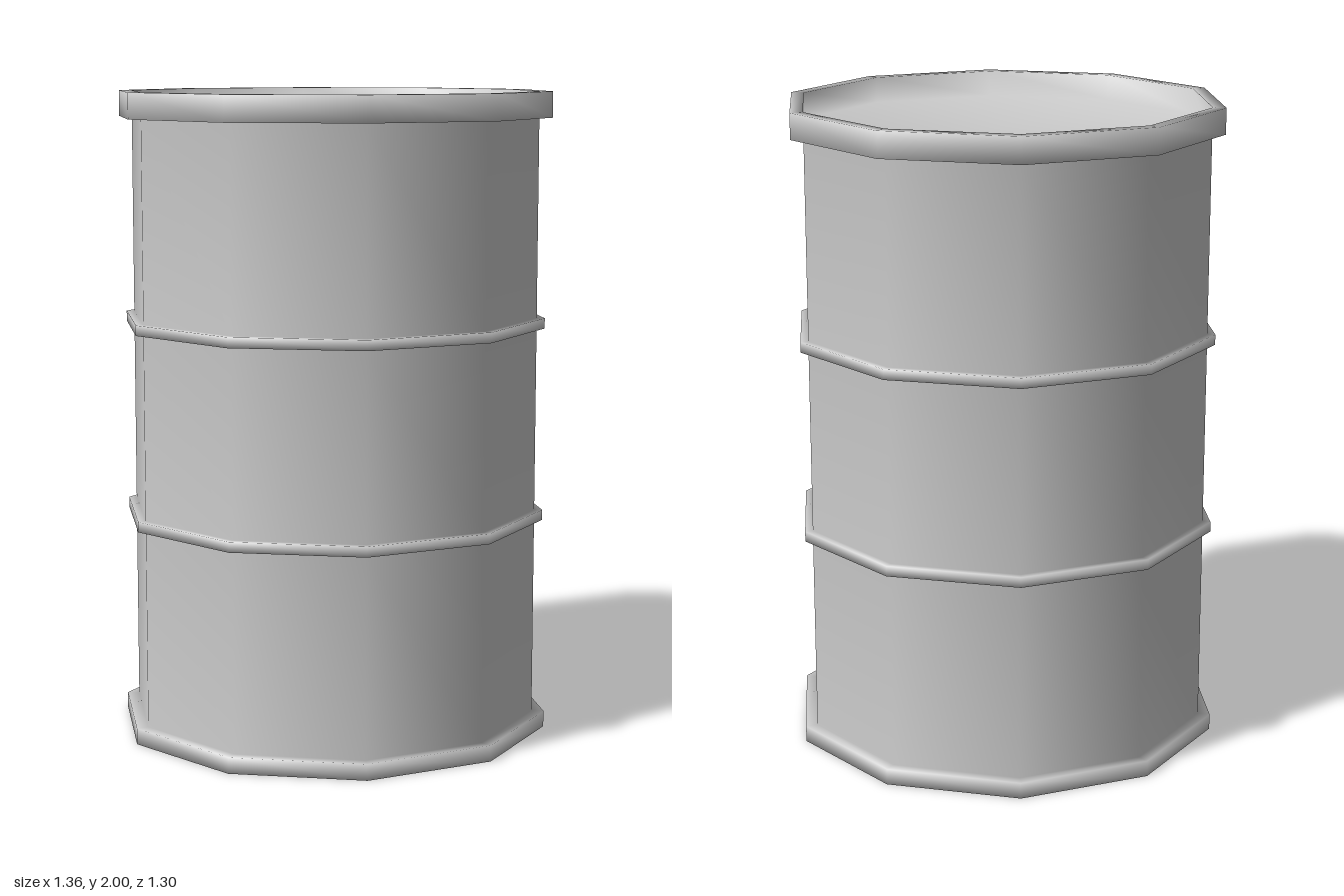
import * as THREE from 'three';

const SIDES = 10;
const START = Math.PI / 2; // puts corners on +x and -x
const BODY = 0.64; // corner radius of the wall
const BOTTOM_RIM = 0.678; // corner radii of the end rims and hoops
const TOP_RIM = 0.681;
const HOOP = 0.665;
const BASE_Y = 0.1; // heights of the recessed end plates
const LID_Y = 1.92;

// Square step around the wall, centred on height y
const hoop = (y, h = 0.016) => [[BODY, y - h], [HOOP, y - h], [HOOP, y + h], [BODY, y + h]];

// Ten-sided turned shell, smoothed so that large faces dominate at each corner
function turnedShell(profile) {
  const points = profile.map(([r, y]) => new THREE.Vector2(r, y));
  const geometry = new THREE.LatheGeometry(points, SIDES, START);

  // Outward normal of each profile segment, scaled by the area it sweeps
  const swept = points.slice(1).map((p, j) => {
    const q = points[j];
    return new THREE.Vector2(p.y - q.y, q.x - p.x).multiplyScalar((p.x + q.x) / 2);
  });
  const none = new THREE.Vector2();
  const rowNormals = points.map((_, j) =>
    new THREE.Vector2().addVectors(swept[j - 1] ?? none, swept[j] ?? none).normalize());

  const normal = geometry.getAttribute('normal');
  for (let i = 0; i <= SIDES; i++) {
    const angle = START + (i / SIDES) * Math.PI * 2;
    rowNormals.forEach((n, j) => {
      normal.setXYZ(i * points.length + j, n.x * Math.sin(angle), n.y, n.x * Math.cos(angle));
    });
  }
  return geometry;
}

export function createModel() {
  const drum = new THREE.Group();
  drum.name = 'drum';

  // Half outline of the shell, from the base centre around to the lid centre
  const shell = new THREE.Mesh(
    turnedShell([
      // recessed base and bottom rim
      [0, BASE_Y], [BODY, BASE_Y], [BODY, 0], [BOTTOM_RIM, 0], [BOTTOM_RIM, 0.05], [BODY, 0.05],
      // wall with two hoops
      ...hoop(0.684), ...hoop(1.288),
      // top rim and recessed lid
      [BODY, 1.92], [TOP_RIM, 1.92], [TOP_RIM, 2], [BODY, 2], [BODY, LID_Y], [0, LID_Y],
    ]),
    new THREE.MeshStandardMaterial({ color: 0xcccccc }),
  );
  shell.name = 'drumShell';
  drum.add(shell);

  return drum;
}
